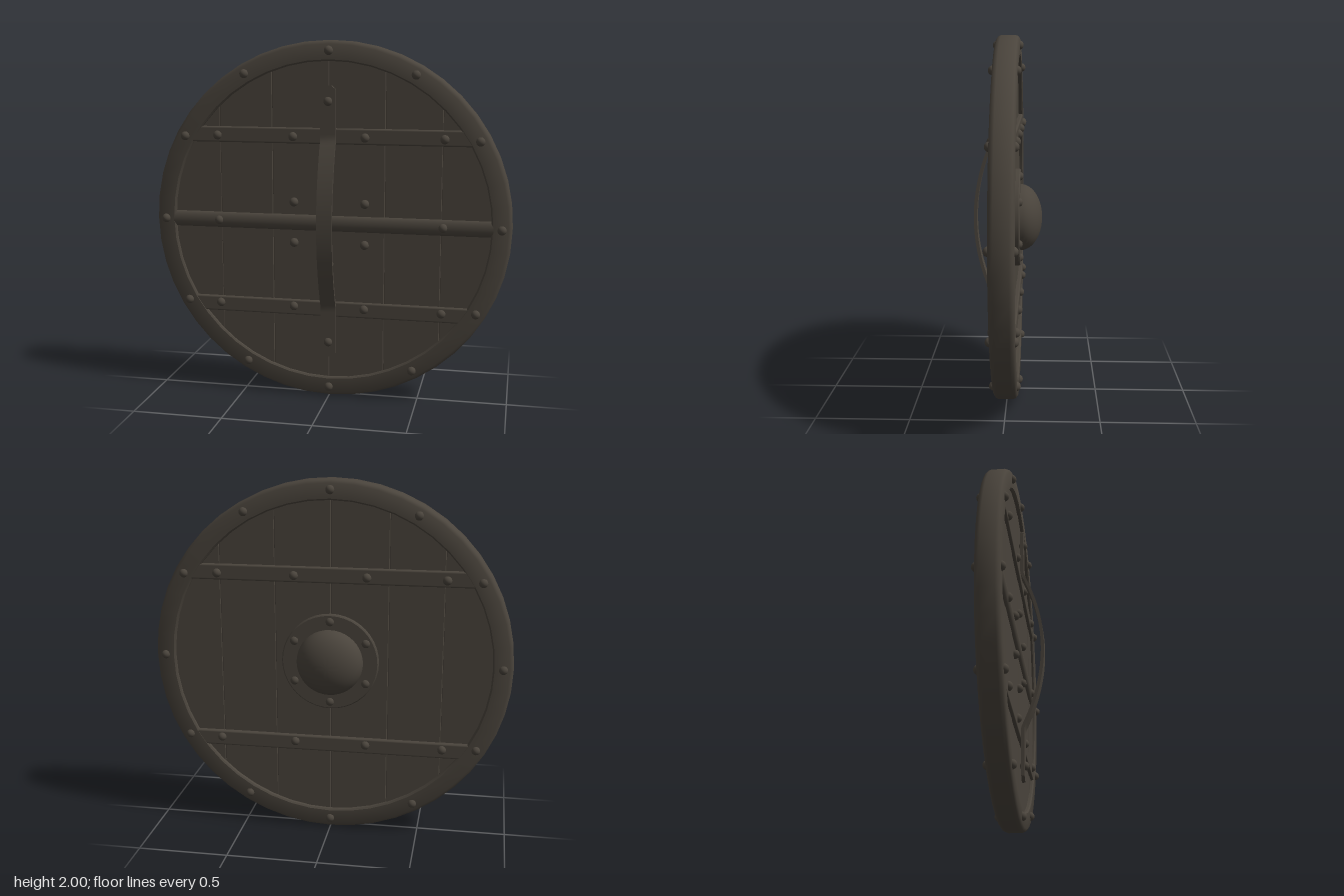
import * as THREE from 'three';
import { toCreasedNormals } from 'three/addons/utils/BufferGeometryUtils.js';
import { RoundedBoxGeometry } from 'three/addons/geometries/RoundedBoxGeometry.js';

const darkWood = new THREE.MeshStandardMaterial({ color: 0x4a443c });
darkWood.name = 'darkWood';

const pts = list => list.map(([x, y]) => new THREE.Vector2(x, y));

export function createModel() {
  const model = new THREE.Group();
  model.name = 'roundShield';
  const shield = new THREE.Group();
  shield.name = 'shieldBody';
  shield.position.y = 1;
  model.add(shield);

  const add = (name, geometry, x = 0, y = 0, z = 0) => {
    const mesh = new THREE.Mesh(geometry, darkWood);
    mesh.name = name;
    mesh.position.set(x, y, z);
    shield.add(mesh);
    return mesh;
  };

  // Rim: closed section swept around the shield
  const rim = new THREE.LatheGeometry(pts([
    [0.89, -0.058], [0.898, -0.065], [0.98, -0.065], [0.994, -0.055], [1, -0.04],
    [1, 0.035], [0.994, 0.05], [0.98, 0.06], [0.898, 0.06], [0.89, 0.053], [0.89, -0.058],
  ]), 48).rotateX(Math.PI / 2);
  add('rim', toCreasedNormals(rim, 0.7));

  // Vertical planks cut to the circle
  const edges = [-0.92, -0.62, -0.32, 0, 0.31, 0.62, 0.92];
  const R = 0.93, bevel = 0.004;
  for (let i = 0; i < edges.length - 1; i++) {
    const outline = [];
    for (const side of [1, -1]) {
      for (let k = 0; k <= 8; k++) {
        const t = side > 0 ? k / 8 : 1 - k / 8;
        const x = edges[i] + (edges[i + 1] - edges[i]) * t;
        outline.push([x, side * Math.sqrt(R * R - x * x)]);
      }
    }
    const half = i % 2 ? 0.041 : 0.039;
    const plank = new THREE.ExtrudeGeometry(new THREE.Shape(pts(outline)), {
      depth: 2 * (half - bevel), bevelThickness: bevel, bevelSize: bevel,
      bevelOffset: -bevel, bevelSegments: 1,
    });
    add('plank', plank, 0, 0, -half + bevel);
  }

  // Cross straps on both faces
  for (const y of [0.485, -0.488]) {
    add('frontStrap', new RoundedBoxGeometry(1.6, 0.087, 0.036, 2, 0.01), 0, y, 0.04);
    add('backStrap', new RoundedBoxGeometry(1.6, 0.087, 0.036, 2, 0.01), 0, y, -0.046);
  }

  // Rounded middle bar behind the handle
  const bar = new THREE.CylinderGeometry(0.045, 0.045, 1.8, 20).rotateZ(Math.PI / 2);
  bar.scale(1, 1, 0.55);
  add('middleBar', bar, 0, 0, 0.037);

  // Bowed handle strap with softened ends
  const handle = new THREE.BoxGeometry(0.085, 1.52, 0.018, 2, 76, 1);
  const p = handle.attributes.position;
  for (let i = 0; i < p.count; i++) {
    const y = p.getY(i);
    const bow = Math.max(0, 1 - (y / 0.47) ** 2);
    const c = Math.max(0, 0.024 - (0.76 - Math.abs(y)));
    const inset = 0.024 - Math.sqrt(Math.max(0, 0.024 ** 2 - c * c));
    p.setX(i, p.getX(i) * (1 - inset / 0.0425));
    p.setZ(i, p.getZ(i) + 0.068 + 0.112 * bow);
  }
  add('handle', toCreasedNormals(handle, 0.7));

  // Domed boss with its flange on the back
  const bossProfile = [[0.27, 0], [0.27, 0.024], [0.264, 0.03], [0.185, 0.03]];
  for (let k = 1; k <= 12; k++) {
    const a = (k / 12) * Math.PI / 2;
    bossProfile.push([k === 12 ? 0 : 0.185 * Math.cos(a), 0.03 + 0.12 * Math.sin(a)]);
  }
  const boss = new THREE.LatheGeometry(pts(bossProfile), 40).rotateX(-Math.PI / 2);
  add('boss', toCreasedNormals(boss, 0.6), 0, 0, -0.04);

  // Rivets
  const rivetGeometry = new THREE.SphereGeometry(0.025, 14, 10);
  const rivet = (name, x, y, z) => add(name, rivetGeometry, x, y, z);
  for (let i = 0; i < 12; i++) {
    const a = (i * Math.PI) / 6;
    for (const z of [0.058, -0.06]) {
      rivet('rimRivet', 0.945 * Math.cos(a), 0.945 * Math.sin(a), z);
    }
  }
  for (const x of [-0.63, -0.2, 0.2, 0.63]) {
    for (const y of [0.48, -0.48]) {
      rivet('frontStrapRivet', x, y, 0.056);
      rivet('backStrapRivet', x, y, -0.062);
    }
  }
  for (let i = 0; i < 6; i++) {
    const a = Math.PI / 6 + (i * Math.PI) / 3;
    const x = 0.23 * Math.cos(a), y = 0.23 * Math.sin(a);
    rivet('bossRivet', x, y, -0.062);
    rivet('bossRivetEnd', x, y, 0.045);
  }
  for (const s of [-1, 1]) {
    rivet('middleBarRivet', s * 0.63, 0, 0.056);
    rivet('handleRivet', 0, s * 0.675, 0.073);
  }
  return model;
}
